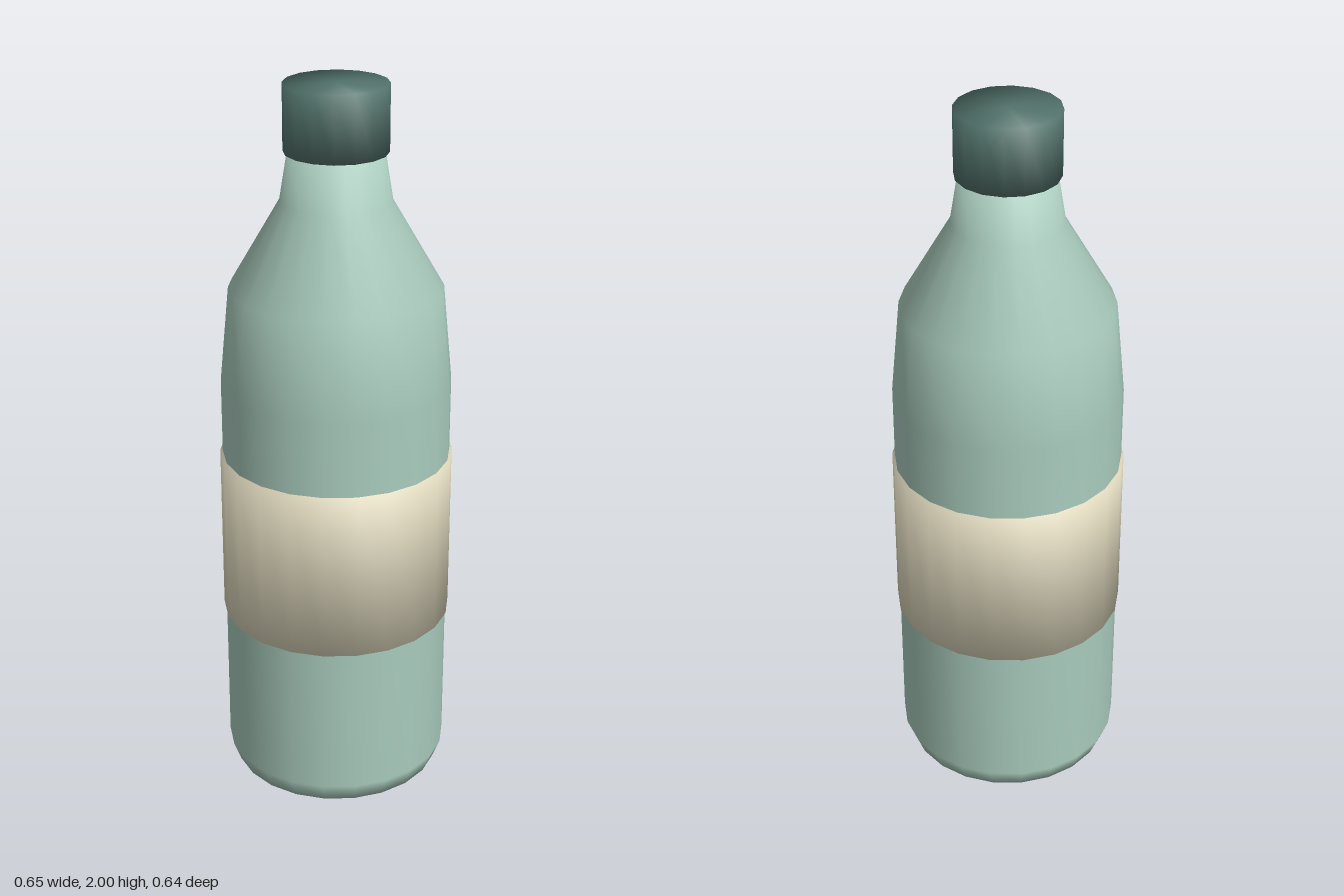
import * as THREE from 'three';

const mat = (name, color) => {
  const m = new THREE.MeshStandardMaterial({ color });
  m.name = name;
  return m;
};

// Smooth turned part from [radius, height] points, listed bottom to top
function turned(name, points, sides, start, material) {
  const profile = points.map(([r, y]) => new THREE.Vector2(r, y));
  const mesh = new THREE.Mesh(new THREE.LatheGeometry(profile, sides, start), material);
  mesh.name = name;
  return mesh;
}

export function createModel() {
  const glass = mat('pale green glass', 0xa9cbbd);
  const paper = mat('cream paper', 0xe0d9be);
  const capGreen = mat('dark green cap', 0x53736c);

  const bottle = new THREE.Group();
  bottle.name = 'bottle';

  // Body with bevelled foot, tapering shoulder and neck
  bottle.add(turned('body', [
    [0, 0], [0.295, 0], [0.316, 0.055], [0.316, 1.18],
    [0.29, 1.45], [0.15, 1.69], [0.127, 1.83], [0, 1.83],
  ], 22, Math.PI / 2, glass));

  // Label band wrapped round the body
  bottle.add(turned('label', [
    [0, 0.49], [0.323, 0.49], [0.323, 0.97], [0, 0.97],
  ], 22, Math.PI / 2, paper));

  // Screw cap
  bottle.add(turned('cap', [
    [0, 1.82], [0.14, 1.82], [0.14, 2], [0, 2],
  ], 16, 0, capGreen));

  return bottle;
}
